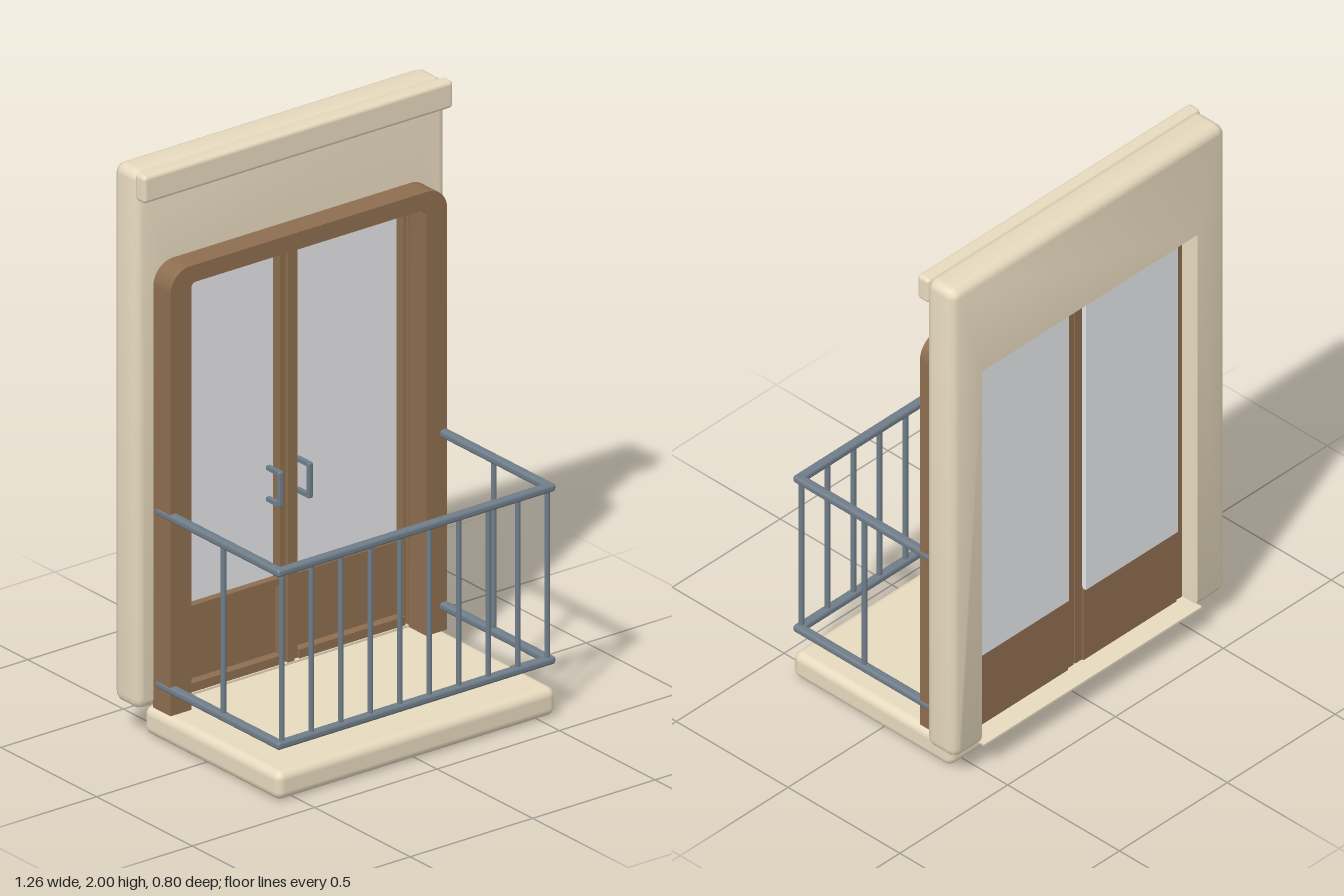
import * as THREE from 'three';
import { toCreasedNormals } from 'three/addons/utils/BufferGeometryUtils.js';
import { RoundedBoxGeometry } from 'three/addons/geometries/RoundedBoxGeometry.js';

const mat = (name, color) => {
  const m = new THREE.MeshStandardMaterial({ color });
  m.name = name;
  return m;
};

// Inverted U outline: outer half width, height range, corner radii, and the opening
function archShape(w, y0, y1, rBottom, rTop, openW, openTop, rOpen) {
  const s = new THREE.Shape();
  s.moveTo(openW, y0);
  s.lineTo(w - rBottom, y0);
  if (rBottom) s.quadraticCurveTo(w, y0, w, y0 + rBottom);
  s.lineTo(w, y1 - rTop);
  s.absarc(w - rTop, y1 - rTop, rTop, 0, Math.PI / 2);
  s.lineTo(-w + rTop, y1);
  s.absarc(-w + rTop, y1 - rTop, rTop, Math.PI / 2, Math.PI);
  s.lineTo(-w, y0 + rBottom);
  if (rBottom) s.quadraticCurveTo(-w, y0, -w + rBottom, y0);
  s.lineTo(-openW, y0);
  s.lineTo(-openW, openTop - rOpen);
  if (rOpen) s.quadraticCurveTo(-openW, openTop, -openW + rOpen, openTop);
  else s.lineTo(-openW, openTop);
  s.lineTo(openW - rOpen, openTop);
  if (rOpen) s.quadraticCurveTo(openW, openTop, openW, openTop - rOpen);
  return s;
}

// Wall slab with softened outer edges and a crisp door opening
function wallGeometry() {
  const openW = 0.5, openTop = 1.62, b = 0.025;
  const shape = archShape(0.63, 0.108, 2, 0.035, 0.035, openW, openTop, 0);
  const g = new THREE.ExtrudeGeometry(shape, {
    depth: 0.125 - 2 * b, bevelSize: b, bevelThickness: b, bevelOffset: -b,
    bevelSegments: 2, curveSegments: 6,
  });
  g.translate(0, 0, -0.385 + b);
  // Pull the rounded edge of the opening back to a square edge
  const p = g.attributes.position;
  for (let i = 0; i < p.count; i++) {
    const x = p.getX(i), y = p.getY(i);
    if (Math.abs(x) < 0.55 && y < 1.7) {
      p.setX(i, Math.sign(x) * openW);
      if (y > 1.5) p.setY(i, openTop);
    }
  }
  return toCreasedNormals(g, 1);
}

export function createModel() {
  const model = new THREE.Group();
  model.name = 'balconyDoor';
  const plaster = mat('plaster', 0xe6d9be);
  const wood = mat('wood', 0x8d6d4f);
  const glass = mat('glass', 0xe4e5e7);
  const metal = mat('metal', 0x6f7d89);

  const add = (name, geometry, material, x = 0, y = 0, z = 0, parent = model) => {
    const m = new THREE.Mesh(geometry, material);
    m.name = name;
    m.position.set(x, y, z);
    parent.add(m);
    return m;
  };
  // Box given by its min and max corners
  const box = (name, material, a, b, parent = model) => add(name,
    new THREE.BoxGeometry(b[0] - a[0], b[1] - a[1], b[2] - a[2]), material,
    (a[0] + b[0]) / 2, (a[1] + b[1]) / 2, (a[2] + b[2]) / 2, parent);

  // Masonry
  add('wall', wallGeometry(), plaster);
  add('cornice', new RoundedBoxGeometry(1.264, 0.096, 0.052, 3, 0.014), plaster, 0, 1.952, -0.247);
  add('balconySlab', new RoundedBoxGeometry(1.14, 0.1, 0.71, 4, 0.03), plaster, 0, 0.05, 0.045);
  box('threshold', plaster, [-0.505, 0.106, -0.4], [0.505, 0.114, -0.26]);

  // Projecting door surround
  const surround = new THREE.ExtrudeGeometry(
    archShape(0.565, 0.106, 1.667, 0, 0.08, 0.48, 1.607, 0.02),
    { depth: 0.092, bevelEnabled: false, curveSegments: 8 });
  add('doorSurround', toCreasedNormals(surround, 0.6), wood, 0, 0, -0.262);
  // Lining inside the wall opening
  const lining = new THREE.ExtrudeGeometry(
    archShape(0.499, 0.114, 1.619, 0, 0.001, 0.478, 1.605, 0),
    { depth: 0.055, bevelEnabled: false, curveSegments: 1 });
  add('doorLining', lining, wood, 0, 0, -0.317);

  // Two mirrored door leaves
  for (const s of [-1, 1]) {
    const leaf = new THREE.Group();
    leaf.name = s > 0 ? 'leftDoor' : 'rightDoor';
    model.add(leaf);
    const part = (name, m, x0, x1, y0, y1, z0, z1) => box(name, m,
      [Math.min(s * x0, s * x1), y0, z0], [Math.max(s * x0, s * x1), y1, z1], leaf);
    part('innerStile', wood, 0.004, 0.036, 0.114, 1.605, -0.315, -0.275);
    part('outerStile', wood, 0.468, 0.479, 0.114, 1.605, -0.315, -0.275);
    part('topRail', wood, 0.036, 0.468, 1.584, 1.605, -0.315, -0.275);
    part('lowerPanel', wood, 0.036, 0.468, 0.114, 0.4, -0.322, -0.298);
    part('panelCap', wood, 0.036, 0.468, 0.385, 0.41, -0.315, -0.28);
    part('bottomRail', wood, 0.036, 0.468, 0.114, 0.145, -0.315, -0.265);
    // Pane set slightly behind the leaf with a narrow gap around it
    part('pane', glass, 0.039, 0.465, 0.402, 1.577, -0.33, -0.308);
    // Pull handle on two short stems
    add('handle', new RoundedBoxGeometry(0.02, 0.125, 0.016, 2, 0.006), metal, s * 0.06, 0.743, -0.243, leaf);
    for (const y of [0.688, 0.798]) part('handleStem', metal, 0.052, 0.068, y - 0.007, y + 0.007, -0.31, -0.243);
  }
  // Cover strip between the leaves
  box('centreStrip', wood, [-0.014, 0.114, -0.31], [0.014, 1.605, -0.262]);

  // Railing
  const railing = new THREE.Group();
  railing.name = 'railing';
  model.add(railing);
  const w = 0.032, h = 0.027, rx = 0.552, rz = 0.382;
  const railFront = new RoundedBoxGeometry(1.136, h, w, 3, 0.01);
  const railSide = new RoundedBoxGeometry(w, h, 0.648, 3, 0.01);
  const baluster = new THREE.CylinderGeometry(0.0095, 0.0095, 0.6, 10);
  for (const y of [0.194, 0.801]) {
    add('frontRail', railFront, metal, 0, y, rz, railing);
    for (const s of [-1, 1]) add('sideRail', railSide, metal, s * rx, y, 0.074, railing);
  }
  for (let i = 0; i < 10; i++) add('baluster', baluster, metal, -0.542 + i * 1.084 / 9, 0.4975, rz, railing);
  for (const s of [-1, 1]) add('sideBaluster', baluster, metal, s * rx, 0.4975, 0.09, railing);

  return model;
}
